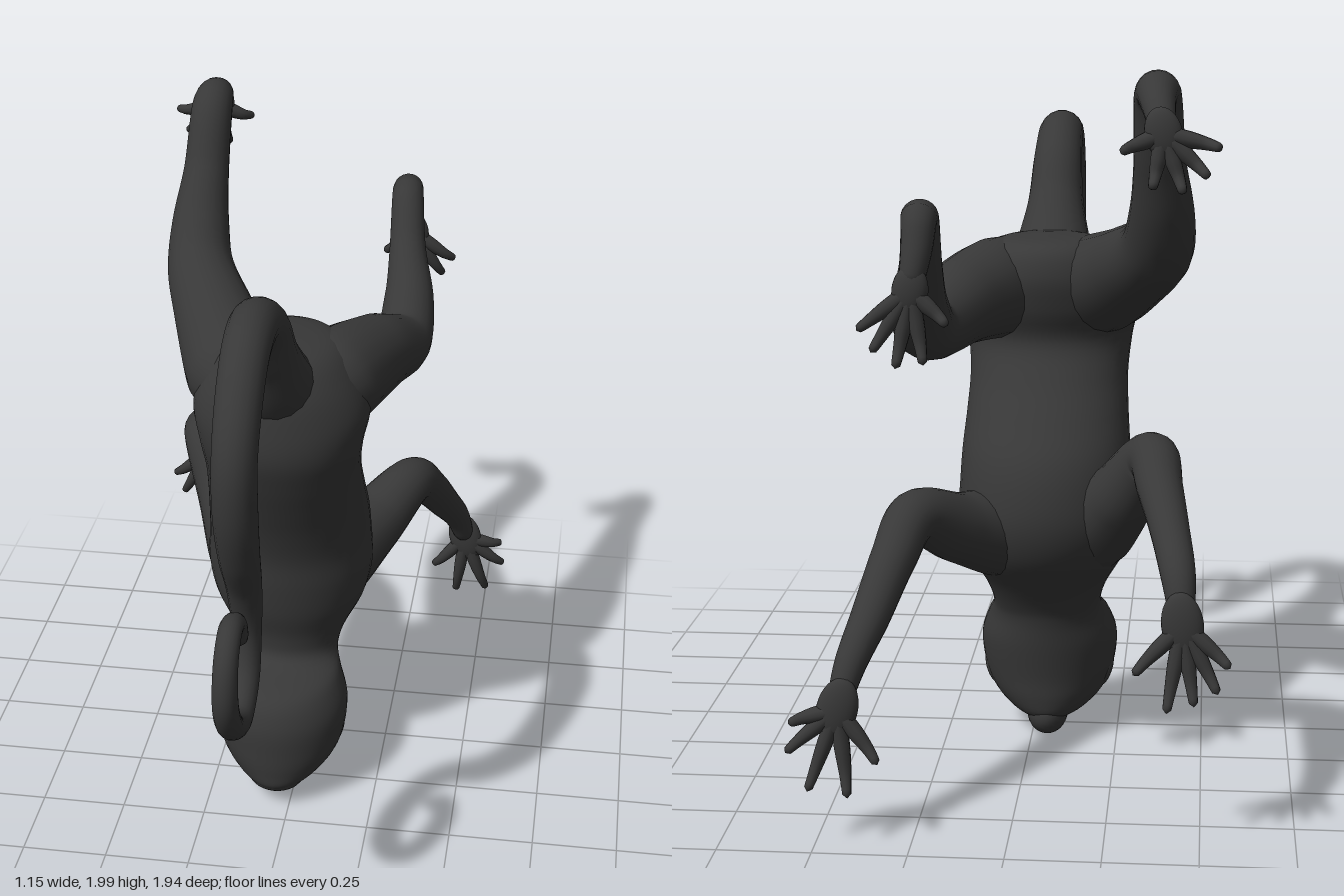
import * as THREE from 'three';
import { mergeVertices } from 'three/addons/utils/BufferGeometryUtils.js';

const MID = -0.045; // plane of the spine and tail

// Weld seams so the skin shades smoothly
function smooth(geo) {
  geo.deleteAttribute('uv');
  geo.deleteAttribute('normal');
  const welded = mergeVertices(geo, 1e-5);
  welded.computeVertexNormals();
  return welded;
}

// Round-ended tube through [x, y, z, radius] points
function taperedTube(points, segments, sides) {
  const curve = new THREE.CatmullRomCurve3(points.map(p => new THREE.Vector3(p[0], p[1], p[2])));
  const radii = new THREE.CatmullRomCurve3(points.map(p => new THREE.Vector3(p[3], 0, 0)), false, 'catmullrom');
  const geo = new THREE.TubeGeometry(curve, segments, 1, sides);
  const pos = geo.attributes.position;
  const length = curve.getLength();
  const v = new THREE.Vector3();
  for (let i = 0; i <= segments; i++) {
    const u = i / segments;
    const centre = curve.getPointAt(u);
    let r = radii.getPoint(curve.getUtoTmapping(u)).x;
    const s = Math.min(Math.min(u, 1 - u) * length / r, 1);
    r *= Math.sqrt(Math.max(0, 1 - (1 - s) ** 2));
    for (let j = 0; j <= sides; j++) {
      const k = i * (sides + 1) + j;
      v.fromBufferAttribute(pos, k).sub(centre).multiplyScalar(r).add(centre);
      pos.setXYZ(k, v.x, v.y, v.z);
    }
  }
  return smooth(geo);
}

// Elliptical loft through [y, zBack, zFront, halfWidth] sections, top to bottom
function loft(sections) {
  const rows = (sections.length - 1) * 5, sides = 40;
  const a = new THREE.CatmullRomCurve3(sections.map(s => new THREE.Vector3(s[0], s[1], s[2])), false, 'catmullrom');
  const b = new THREE.CatmullRomCurve3(sections.map(s => new THREE.Vector3(s[3], 0, 0)), false, 'catmullrom');
  const geo = new THREE.CylinderGeometry(1, 1, 1, sides, rows, true);
  const pos = geo.attributes.position;
  for (let k = 0; k < pos.count; k++) {
    const t = 0.5 - pos.getY(k);
    const s = a.getPoint(t), w = Math.max(0, b.getPoint(t).x);
    pos.setXYZ(k, MID + pos.getX(k) * w, s.x, (s.y + s.z) / 2 + pos.getZ(k) * (s.z - s.y) / 2);
  }
  return smooth(geo);
}

export function createModel() {
  const model = new THREE.Group();
  model.name = 'climbingMonkey';
  const fur = new THREE.MeshStandardMaterial({ color: 0x383838 });
  fur.name = 'charcoal';

  function add(name, geo, parent = model) {
    const mesh = new THREE.Mesh(geo, fur);
    mesh.name = name;
    parent.add(mesh);
    return mesh;
  }
  function ellipsoid(name, p, size, parent) {
    const mesh = add(name, new THREE.SphereGeometry(1, 24, 16), parent);
    mesh.position.set(...p);
    mesh.scale.set(...size);
    return mesh;
  }

  // Rump, torso, neck and skull in one skin, head hanging down
  add('torsoAndHead', loft([
    [1.5, -0.05, -0.03, 0], [1.48, -0.2, 0.11, 0.15], [1.4, -0.24, 0.18, 0.22],
    [1.3, -0.22, 0.205, 0.255], [1.2, -0.185, 0.21, 0.238], [1.1, -0.235, 0.18, 0.228],
    [1.0, -0.31, 0.14, 0.232], [0.9, -0.38, 0.1, 0.24], [0.8, -0.41, 0.07, 0.245],
    [0.7, -0.41, 0.06, 0.25], [0.6, -0.37, 0.045, 0.228], [0.5, -0.285, 0.02, 0.175],
    [0.43, -0.235, 0.035, 0.156], [0.38, -0.215, 0.16, 0.175], [0.3, -0.2, 0.205, 0.2],
    [0.2, -0.18, 0.21, 0.19], [0.13, -0.172, 0.207, 0.16], [0.08, -0.155, 0.195, 0.11],
    [0.06, -0.1, 0.13, 0.06], [0.055, 0.0, 0.02, 0],
  ]));

  // Face
  ellipsoid('muzzle', [MID, 0.075, -0.08], [0.06, 0.066, 0.085]);
  ellipsoid('brow', [MID, 0.095, 0.125], [0.085, 0.052, 0.072]);
  for (const side of [-1, 1]) {
    ellipsoid('ear', [MID + side * 0.168, 0.18, -0.005], [0.018, 0.05, 0.05]).rotation.z = side * -0.35;
  }

  // Curled tail as [z, y, radius]
  const tail = [
    [-0.02, 1.32, 0.1], [0.1, 1.4, 0.115], [0.22, 1.55, 0.083], [0.31, 1.67, 0.072],
    [0.45, 1.735, 0.067], [0.58, 1.715, 0.064], [0.69, 1.62, 0.062], [0.755, 1.5, 0.06],
    [0.755, 1.35, 0.06], [0.71, 1.2, 0.056], [0.635, 1.05, 0.048], [0.608, 0.9, 0.041],
    [0.65, 0.78, 0.041], [0.75, 0.72, 0.039], [0.86, 0.765, 0.037], [0.935, 0.88, 0.035],
    [0.918, 1.0, 0.033], [0.85, 1.053, 0.032], [0.775, 1.03, 0.03], [0.74, 0.95, 0.03],
  ];
  add('tail', taperedTube(tail.map(([z, y, r]) => [MID, y, z, r]), 140, 18));

  // Limb: path of the leg or arm, then a palm with five digits ending at [x, y]
  function limb(name, path, palmSize, tips) {
    const group = new THREE.Group();
    group.name = name;
    model.add(group);
    add(name + 'Skin', taperedTube(path, 70, 20), group);
    const [px, py, pz] = path[path.length - 1];
    const [wx, wy] = path[path.length - 2];
    ellipsoid('palm', [px, py, pz], palmSize, group).rotation.z = Math.atan2(px - wx, wy - py);
    for (const [x, y] of tips) {
      const mix = f => [px + (x - px) * f, py + (y - py) * f];
      add('digit', taperedTube([
        [...mix(0.05), pz, 0.022], [...mix(0.45), pz - 0.004, 0.021],
        [...mix(0.75), pz - 0.012, 0.016], [x, y, -0.96, 0.011],
      ], 20, 10), group);
    }
  }
  const foot = [0.046, 0.066, 0.026], hand = [0.054, 0.088, 0.026];

  limb('leftLeg', [
    [0.055, 1.33, 0.09, 0.1], [0.09, 1.345, -0.06, 0.142], [0.18, 1.335, -0.28, 0.12],
    [0.25, 1.3, -0.48, 0.09], [0.255, 1.38, -0.6, 0.076], [0.235, 1.5, -0.72, 0.056],
    [0.22, 1.645, -0.85, 0.047], [0.222, 1.57, -0.895, 0.04], [0.235, 1.47, -0.927, 0.03],
  ], foot, [[0.14, 1.39], [0.2, 1.29], [0.27, 1.28], [0.33, 1.32], [0.365, 1.375]]);

  limb('rightLeg', [
    [-0.145, 1.33, 0.09, 0.1], [-0.19, 1.355, -0.06, 0.142], [-0.29, 1.435, -0.28, 0.12],
    [-0.36, 1.515, -0.44, 0.1], [-0.375, 1.62, -0.53, 0.086], [-0.37, 1.76, -0.61, 0.068],
    [-0.365, 1.938, -0.71, 0.06], [-0.368, 1.93, -0.82, 0.045], [-0.385, 1.86, -0.917, 0.031],
  ], foot, [[-0.525, 1.83], [-0.495, 1.76], [-0.435, 1.72], [-0.36, 1.73], [-0.285, 1.82]]);

  limb('leftArm', [
    [0.03, 0.64, -0.1, 0.09], [0.075, 0.665, -0.22, 0.13], [0.18, 0.715, -0.38, 0.1],
    [0.285, 0.785, -0.54, 0.073], [0.325, 0.705, -0.66, 0.062], [0.37, 0.58, -0.79, 0.052],
    [0.41, 0.48, -0.877, 0.042], [0.438, 0.375, -0.927, 0.03],
  ], hand, [[0.33, 0.24], [0.41, 0.145], [0.515, 0.16], [0.57, 0.265], [0.56, 0.345]]);

  limb('rightArm', [
    [-0.12, 0.63, -0.1, 0.09], [-0.17, 0.675, -0.2, 0.13], [-0.265, 0.8, -0.34, 0.1],
    [-0.355, 0.942, -0.46, 0.073], [-0.38, 0.895, -0.59, 0.062], [-0.41, 0.82, -0.74, 0.052],
    [-0.435, 0.735, -0.867, 0.045], [-0.448, 0.625, -0.927, 0.03],
  ], hand, [[-0.57, 0.525], [-0.54, 0.455], [-0.48, 0.42], [-0.41, 0.4], [-0.325, 0.5]]);

  return model;
}
